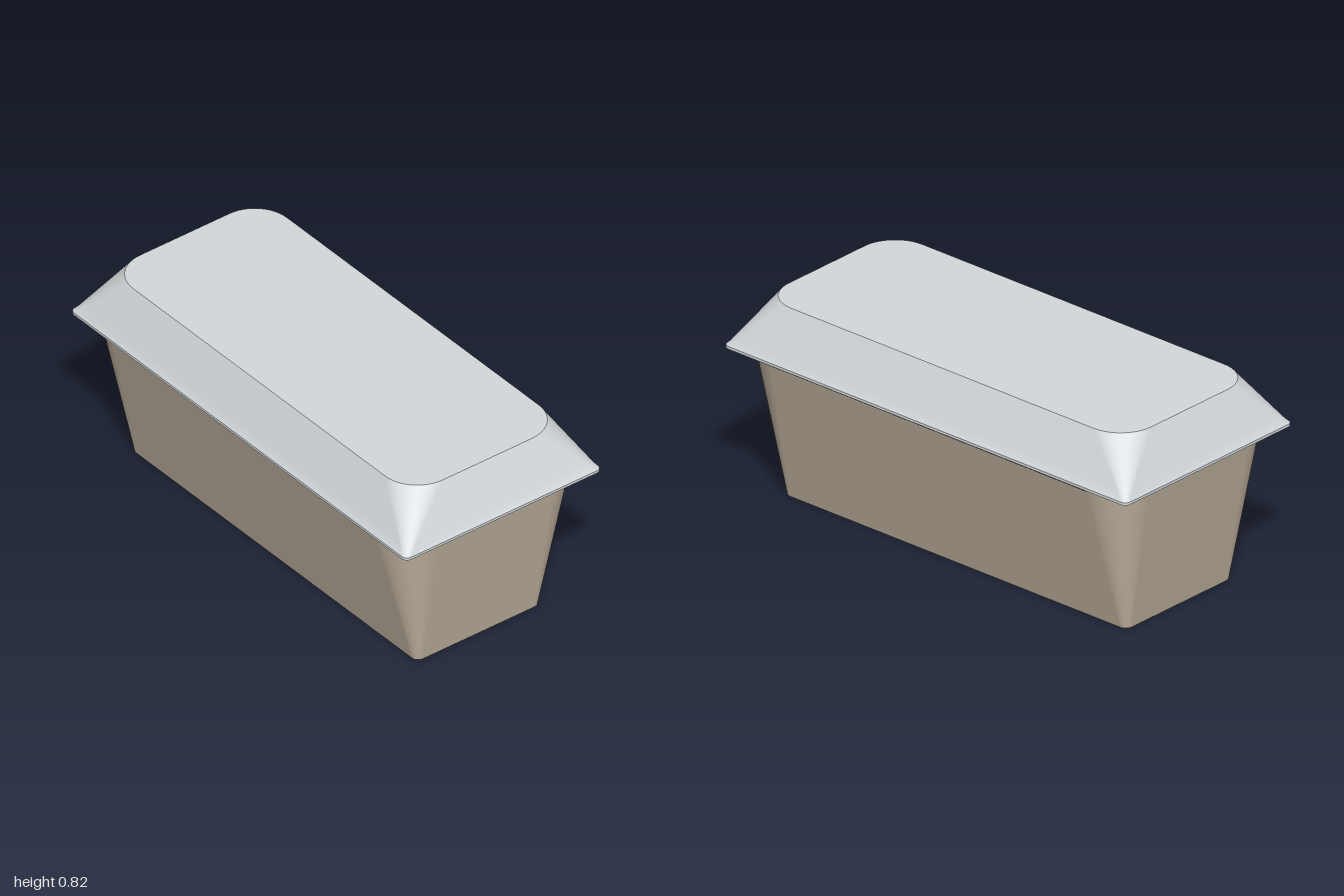
import * as THREE from 'three';

const CORNER_STEPS = 12;

// Rounded rectangle outline: half width, half depth, corner radius, height
function ring([hx, hz, r, y]) {
  const pts = [];
  for (let q = 0; q < 4; q++) {
    const sx = q === 0 || q === 3 ? 1 : -1;
    const sz = q < 2 ? 1 : -1;
    for (let s = 0; s <= CORNER_STEPS; s++) {
      const a = (q + s / CORNER_STEPS) * Math.PI / 2;
      pts.push(sx * (hx - r) + r * Math.cos(a), y, sz * (hz - r) + r * Math.sin(a));
    }
  }
  return pts;
}

// Smooth skin through a list of outlines
function loft(sections) {
  const n = 4 * (CORNER_STEPS + 1);
  const index = [];
  for (let j = 0; j < sections.length - 1; j++) {
    for (let i = 0; i < n; i++) {
      const a = j * n + i, b = j * n + (i + 1) % n;
      index.push(a, a + n, b, b, a + n, b + n);
    }
  }
  const g = new THREE.BufferGeometry();
  g.setAttribute('position', new THREE.Float32BufferAttribute(sections.flatMap(ring), 3));
  g.setIndex(index);
  g.computeVertexNormals();
  return g;
}

// Straight run between two outlines, subdivided so the shading stays even
function blend(a, b, steps) {
  return Array.from({ length: steps + 1 }, (_, k) => a.map((v, i) => v + (b[i] - v) * k / steps));
}

export function createModel() {
  const model = new THREE.Group();
  const tubMat = new THREE.MeshStandardMaterial({ color: 0xc2b4a1 });
  tubMat.name = 'beige card';
  const lidMat = new THREE.MeshStandardMaterial({ color: 0xd2d8db });
  lidMat.name = 'pale grey plastic';

  const tub = new THREE.Group();
  tub.name = 'tub';
  const lid = new THREE.Group();
  lid.name = 'lid';
  model.add(tub, lid);

  const add = (group, name, mat, sections) => {
    const mesh = new THREE.Mesh(loft(sections), mat);
    mesh.name = name;
    group.add(mesh);
  };

  // Tub: flared walls, square at the foot and rounded at the mouth
  const foot = [0.85, 0.292, 0.03, 0];
  const mouth = [0.95, 0.438, 0.17, 0.603];
  add(tub, 'tubBase', tubMat, [[0, 0, 0, 0], foot]);
  add(tub, 'tubWalls', tubMat, blend(foot, mouth, 8));

  // Rolled rim around the mouth
  add(tub, 'tubRim', tubMat, [
    mouth,
    [0.955, 0.444, 0.175, 0.604],
    [0.958, 0.447, 0.178, 0.61],
    [0.955, 0.444, 0.175, 0.616],
    [0.94, 0.43, 0.16, 0.618],
  ]);

  // Lid: flat underside, thin upright edge, sloped sides and flat top
  const edgeLow = [1, 0.462, 0.025, 0.617];
  const edgeHigh = [1, 0.462, 0.025, 0.628];
  const shoulder = [0.99, 0.452, 0.03, 0.64];
  const top = [0.9, 0.361, 0.15, 0.821];
  add(lid, 'lidUnderside', lidMat, [[0, 0, 0, 0.617], edgeLow]);
  add(lid, 'lidEdge', lidMat, [edgeLow, edgeHigh]);
  add(lid, 'lidSides', lidMat, [edgeHigh, ...blend(shoulder, top, 8)]);
  add(lid, 'lidTop', lidMat, [top, [0, 0, 0, 0.821]]);

  return model;
}
